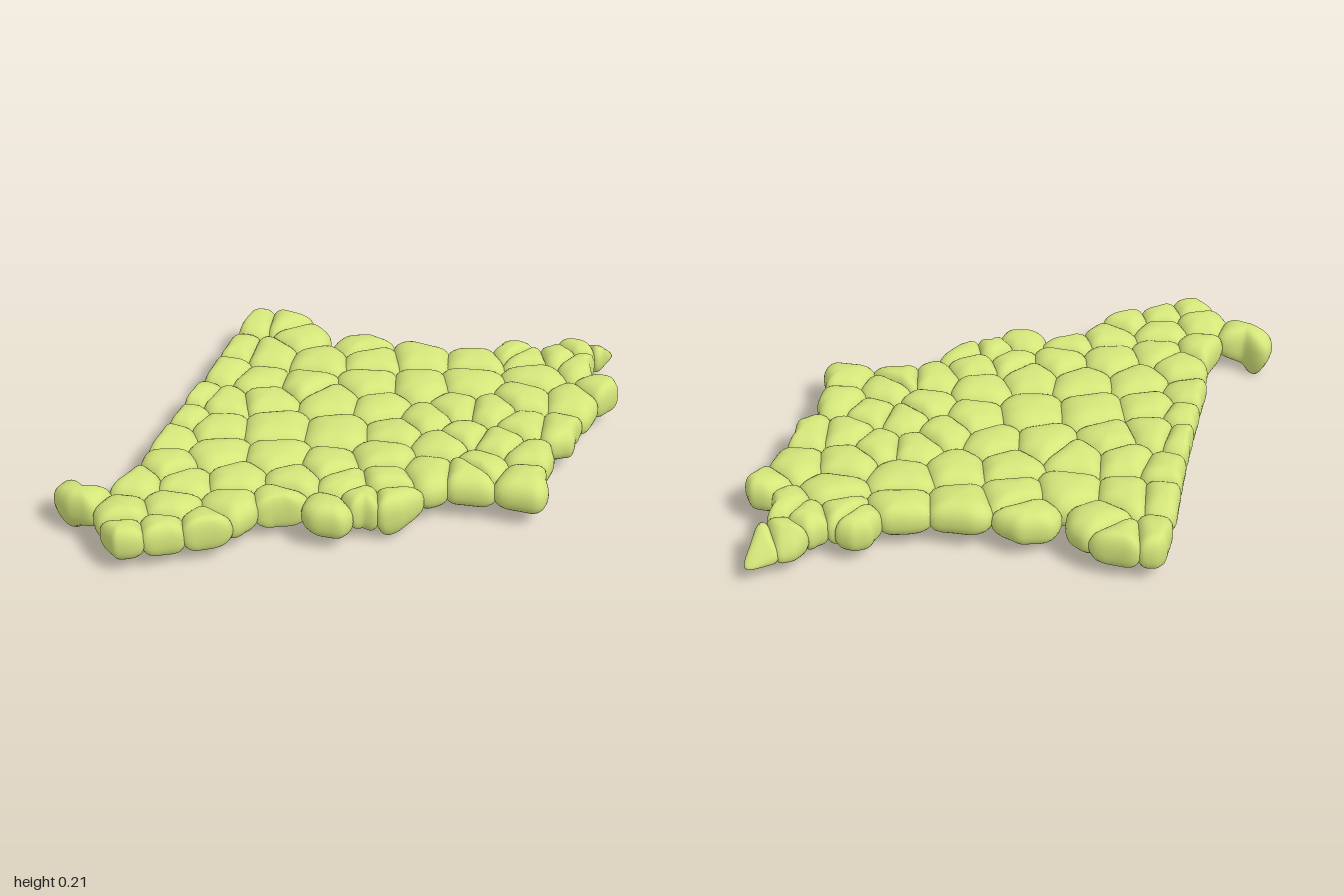
import * as THREE from 'three';

// Ragged border of the patch, x z pairs in hundredths
const OUTLINE = [
  -71, -62, -68, -66, -59, -68, -44, -67, -33, -60, -31, -50, -29, -60, -16, -65, -6, -61, -2, -65, 16, -65,
  24, -69, 35, -72, 35, -78, 42, -82, 53, -80, 60, -92, 66, -95, 73, -99, 78, -101, 77, -87,
  74, -77, 77, -68, 86, -68, 90, -62, 85, -53, 84, -40, 81, -33, 83, -20, 78, -18, 76, -13,
  79, -8, 79, 5, 83, 13, 82, 20, 64, 21, 48, 25, 41, 32, 35, 43, 29, 48, 21, 49,
  18, 59, 6, 61, -3, 56, -12, 61, -20, 77, -39, 90, -50, 98, -55, 100, -65, 93, -71, 86,
  -82, 85, -91, 80, -89, 70, -79, 75, -71, 72, -67, 56, -69, 40, -69, -5, -71, -40,
];

// Pebble centres row by row from back to front, x z pairs in hundredths
const ROWS = [
  [73, -92, 66, -87, 60, -77, 42, -75, 49, -71, 71, -73],
  [-67, -60, -54, -63, -43, -53, -18, -57, 8, -56, 29, -62, 56, -59, 84, -61],
  [-65, -34, -51, -36, -31, -39, -10, -47, 14, -36, 33, -46, 56, -42, 75, -47],
  [-64, -19, -46, -17, -29, -20, -4, -30, 33, -26, 47, -29, 61, -24, 77, -27],
  [-38, -5, -15, -13, 5, -17, 25, -15, 42, -10, 56, -9, 70, -5],
  [-66, 3, -54, 4, -28, 12, -5, 6, 16, -2, 36, 1, 54, 8, 74, 11],
  [-64, 17, -50, 20, -42, 36, -20, 30, 1, 28, 18, 16, 38, 18, 51, 15],
  [-64, 33, -56, 51, -28, 49, -9, 42, 11, 37, 24, 30, 30, 40],
  [-47, 58, -24, 64, -9, 56, 11, 54, 20, 44],
  [-63, 64, -45, 73, -29, 79, -60, 83, -55, 94, -42, 86, -79, 80],
];

// Places where the underside hangs lower: x, z, depth, radius
const DIPS = [[-0.84, 0.76, 0.065, 0.06], [0.3, 0.43, 0.035, 0.08]];

const SIDES = 40, RINGS = 18, MID = 0.125, HALF = 0.075, OVERLAP = 1.1;

const toPoints = (list) => {
  const pts = [];
  for (let i = 0; i < list.length; i += 2) pts.push(new THREE.Vector2(list[i] / 100, list[i + 1] / 100));
  return pts;
};

let seed = 7;
const rand = () => ((seed = (seed * 16807) % 2147483647) / 2147483647) * 2 - 1;

// Reach of a pebble in each direction: just past halfway to its neighbours, or to the border
function cellRadii(site, sites, border) {
  let radii = [];
  for (let i = 0; i < SIDES; i++) {
    const a = (i / SIDES) * Math.PI * 2;
    const d = new THREE.Vector2(Math.cos(a), Math.sin(a));
    let r = 0.2;
    for (const other of sites) {
      if (other === site) continue;
      const n = other.clone().sub(site);
      const along = n.dot(d);
      if (along > 0) r = Math.min(r, (OVERLAP * n.lengthSq()) / (2 * along));
    }
    border.forEach((p, k) => {
      const e = border[(k + 1) % border.length].clone().sub(p);
      const o = p.clone().sub(site);
      const c = d.cross(e);
      if (Math.abs(c) < 1e-9) return;
      const t = o.cross(e) / c, u = o.cross(d) / c;
      if (t > 0 && u >= 0 && u <= 1) r = Math.min(r, t);
    });
    radii.push(r);
  }
  // soften the corners
  for (let pass = 0; pass < 2; pass++) {
    radii = radii.map((r, i) => (radii[(i + SIDES - 1) % SIDES] + 2 * r + radii[(i + 1) % SIDES]) / 4);
  }
  return radii;
}

// Domed pebble over its cell
function pebbleGeometry(site, radii) {
  const pos = [], index = [];
  const half = HALF + rand() * 0.004;
  const lift = rand() * 0.004, tiltX = rand() * 0.06, tiltZ = rand() * 0.06;
  const add = (dx, h, dz) => {
    const x = site.x + dx, z = site.y + dz;
    let y = MID + lift + h * half + tiltX * dx + tiltZ * dz;
    for (const [cx, cz, depth, radius] of DIPS) {
      y += Math.min(h, 0) * depth * Math.exp(-((x - cx) ** 2 + (z - cz) ** 2) / radius ** 2);
    }
    // the back tip thins out downwards
    const tip = THREE.MathUtils.clamp((-z - 0.87) / 0.13, 0, 1);
    y = THREE.MathUtils.lerp(y, 0.055, tip * 0.75);
    pos.push(x, Math.max(y, 0), z);
  };
  add(0, -1, 0);
  for (let j = 1; j < RINGS; j++) {
    const v = (j / RINGS - 0.5) * Math.PI;
    const h = Math.sign(v) * Math.abs(Math.sin(v)) ** 0.9;
    const w = Math.cos(v) ** 0.75;
    for (let i = 0; i < SIDES; i++) {
      const a = (i / SIDES) * Math.PI * 2;
      add(Math.cos(a) * radii[i] * w, h, Math.sin(a) * radii[i] * w);
    }
  }
  add(0, 1, 0);
  const top = pos.length / 3 - 1;
  for (let i = 0; i < SIDES; i++) {
    const n = (i + 1) % SIDES;
    index.push(0, 1 + i, 1 + n);
    for (let j = 0; j < RINGS - 2; j++) {
      const a = 1 + j * SIDES + i, b = 1 + j * SIDES + n;
      index.push(a, a + SIDES, b, b, a + SIDES, b + SIDES);
    }
    index.push(top, top - SIDES + n, top - SIDES + i);
  }
  const geo = new THREE.BufferGeometry();
  geo.setAttribute('position', new THREE.Float32BufferAttribute(pos, 3));
  geo.setIndex(index);
  geo.computeVertexNormals();
  return geo;
}

export function createModel() {
  const model = new THREE.Group();
  model.name = 'pebbledPatch';
  const material = new THREE.MeshStandardMaterial({ color: 0xd4e57a });
  const border = toPoints(OUTLINE);
  const rows = ROWS.map(toPoints);
  const sites = rows.flat();
  rows.forEach((row, r) => {
    const group = new THREE.Group();
    group.name = `pebbleRow${r + 1}`;
    for (const site of row) {
      const mesh = new THREE.Mesh(pebbleGeometry(site, cellRadii(site, sites, border)), material);
      mesh.name = 'pebble';
      group.add(mesh);
    }
    model.add(group);
  });
  return model;
}
